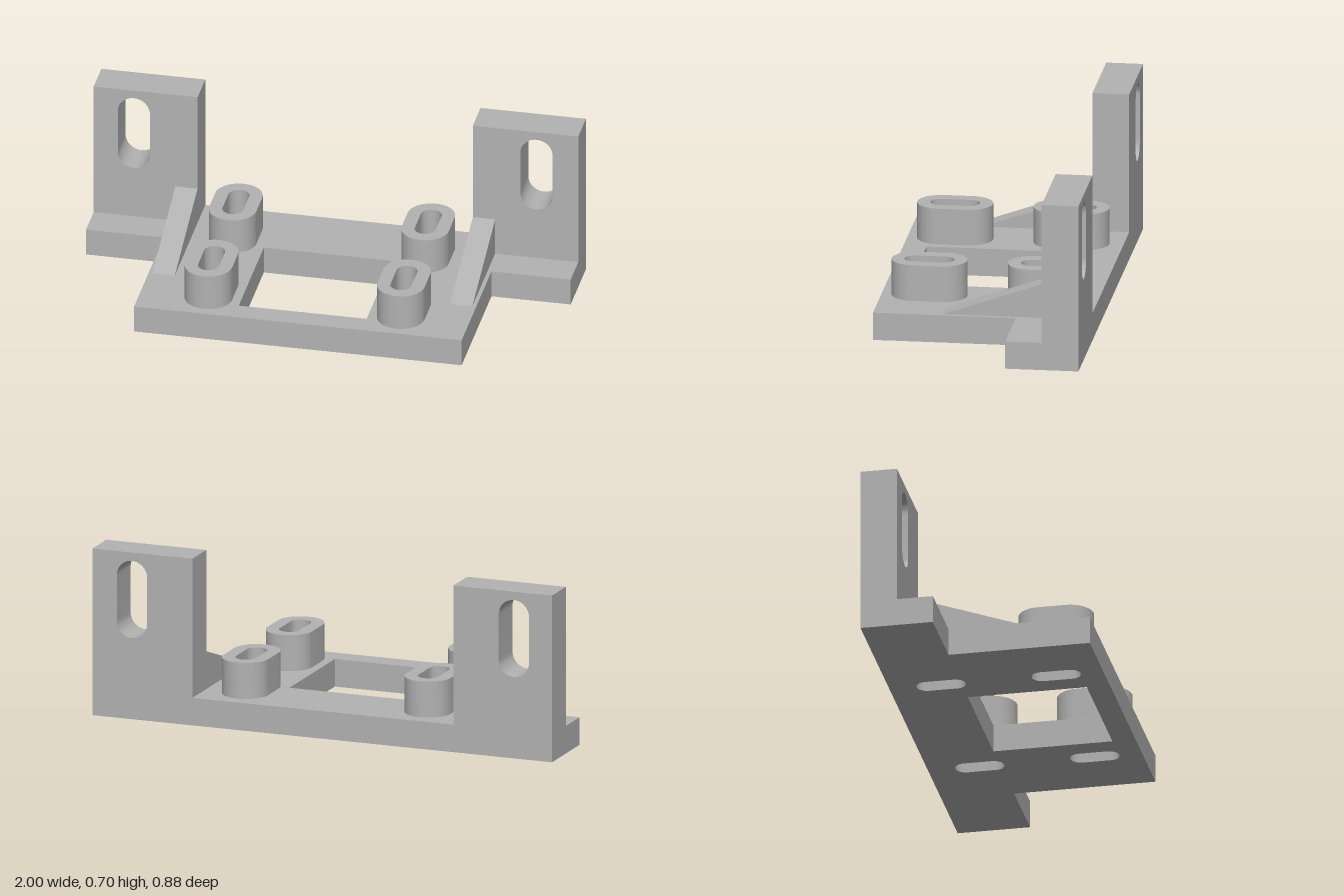
import * as THREE from 'three';
import { toCreasedNormals } from 'three/addons/utils/BufferGeometryUtils.js';

const CX = -0.003; // centre line of the inner features
const BASE = 0.115; // plate thickness
const BACK = -0.44;

const polygon = (pts) => new THREE.Shape(pts.map(([x, y]) => new THREE.Vector2(x, y)));

// Rounded slot, long along y
function slot(Type, cx, cy, halfW, halfL) {
  const s = new Type();
  const d = halfL - halfW;
  s.moveTo(cx + halfW, cy - d);
  s.lineTo(cx + halfW, cy + d);
  s.absarc(cx, cy + d, halfW, 0, Math.PI, false);
  s.lineTo(cx - halfW, cy - d);
  s.absarc(cx, cy - d, halfW, Math.PI, Math.PI * 2, false);
  return s;
}

function extrude(shape, depth) {
  return new THREE.ExtrudeGeometry(shape, { depth, bevelEnabled: false, curveSegments: 20 });
}

export function createModel() {
  const group = new THREE.Group();
  const grey = new THREE.MeshStandardMaterial({ color: 0xb2b2b2 });
  grey.name = 'grey';

  const add = (name, geometry) => {
    const mesh = new THREE.Mesh(toCreasedNormals(geometry, 0.6), grey);
    mesh.name = name;
    group.add(mesh);
  };

  // T-shaped base plate with window and four slots (shape y is -z)
  const plate = polygon([
    [CX - 0.676, -0.44], [CX + 0.676, -0.44], [CX + 0.676, 0.142], [1, 0.142],
    [1, -BACK], [-1, -BACK], [-1, 0.142], [CX - 0.676, 0.142],
  ]);
  plate.holes.push(polygon([
    [CX - 0.264, -0.345], [CX - 0.264, 0.145], [CX + 0.264, 0.145], [CX + 0.264, -0.345],
  ]));
  const mounts = [];
  for (const side of [-1, 1]) {
    for (const z of [-0.228, 0.246]) mounts.push([CX + side * 0.397, z]);
  }
  for (const [x, z] of mounts) plate.holes.push(slot(THREE.Path, x, -z, 0.043, 0.101));
  add('basePlate', extrude(plate, BASE).rotateX(-Math.PI / 2));

  // Slotted standoffs
  for (const [x, z] of mounts) {
    const ring = slot(THREE.Shape, x, -z, 0.097, 0.154);
    ring.holes.push(slot(THREE.Path, x, -z, 0.043, 0.101));
    add('standoff', extrude(ring, 0.15).rotateX(-Math.PI / 2).translate(0, BASE, 0));
  }

  for (const side of [-1, 1]) {
    const prefix = side > 0 ? 'left' : 'right';

    // Upright lug with vertical slot
    const inner = CX + side * 0.568;
    const x0 = Math.min(inner, side);
    const x1 = Math.max(inner, side);
    const lug = polygon([[x0, BASE], [x1, BASE], [x1, 0.696], [x0, 0.696]]);
    lug.holes.push(slot(THREE.Path, CX + side * 0.831, 0.5, 0.066, 0.161));
    add(prefix + 'Lug', extrude(lug, 0.15).translate(0, 0, BACK));

    // Triangular rib in front of the lug (profile runs along z)
    const rib = polygon([[-0.29, BASE], [0.157, BASE], [-0.29, 0.273]]);
    add(prefix + 'Rib', extrude(rib, 0.092).rotateY(-Math.PI / 2)
      .translate(CX + side * 0.614 + 0.046, 0, 0));
  }
  return group;
}
